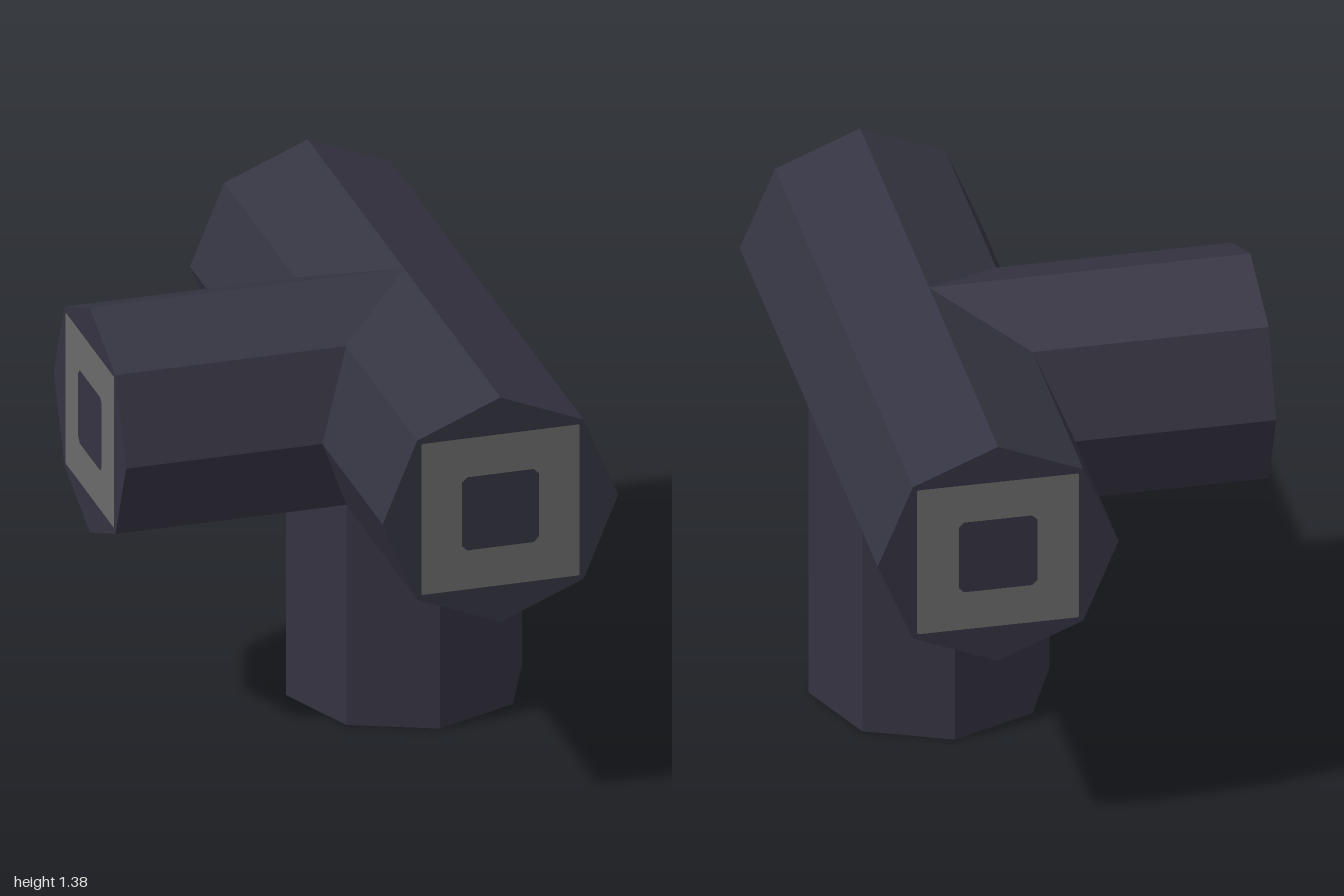
import * as THREE from 'three';

const R = 0.375;   // pipe radius
const LENGTH = 1;  // every arm, measured from the joint

const darkMetal = new THREE.MeshStandardMaterial({ color: 0x343341 });
darkMetal.name = 'darkMetal';
const greyMark = new THREE.MeshStandardMaterial({ color: 0x6a6a6a });
greyMark.name = 'greyMark';

// Square outline with cut corners
function squarePoints(half, cut) {
  const points = [];
  for (let i = 0; i < 4; i++) {
    for (const [x, y] of [[half, half - cut], [half - cut, half]]) {
      points.push(new THREE.Vector2(x, y).rotateAround(new THREE.Vector2(), i * Math.PI / 2));
    }
  }
  return points;
}

// Flat end face, lying across the outer end of an arm
function endFace(outline, hole, material, name) {
  const shape = new THREE.Shape(outline);
  if (hole) shape.holes.push(new THREE.Path(hole));
  const geometry = new THREE.ShapeGeometry(shape).rotateX(-Math.PI / 2).translate(0, LENGTH, 0);
  const mesh = new THREE.Mesh(geometry, material);
  mesh.name = name;
  return mesh;
}

// Eight-sided arm along local +y, mitred against the other arms at the joint
function makeArm(name, direction, others) {
  const arm = new THREE.Group();
  arm.name = name;
  arm.quaternion.setFromUnitVectors(new THREE.Vector3(0, 1, 0), direction);

  let geometry = new THREE.CylinderGeometry(R, R, LENGTH, 8, 1, true).translate(0, LENGTH / 2, 0);
  const pos = geometry.attributes.position;
  const v = new THREE.Vector3();
  for (let i = 0; i < pos.count; i++) {
    if (pos.getY(i) > LENGTH / 2) continue;
    v.fromBufferAttribute(pos, i).setY(0).applyQuaternion(arm.quaternion);
    pos.setY(i, Math.max(0, ...others.map((d) => v.dot(d))));
  }
  geometry = geometry.toNonIndexed();
  geometry.computeVertexNormals();
  const wall = new THREE.Mesh(geometry, darkMetal);
  wall.name = 'pipeWall';

  const octagon = [];
  for (let i = 0; i < 8; i++) {
    const a = i * Math.PI / 4;
    octagon.push(new THREE.Vector2(R * Math.cos(a), R * Math.sin(a)));
  }
  const outer = squarePoints(0.252, 0.004);
  const inner = squarePoints(0.122, 0.016);
  arm.add(
    wall,
    endFace(octagon, outer, darkMetal, 'endRim'),
    endFace(outer, inner, greyMark, 'squareFrame'),
    endFace(inner, null, darkMetal, 'endCentre'),
  );
  return arm;
}

export function createModel() {
  const model = new THREE.Group();
  model.name = 'pipeJunction';
  const directions = {
    frontArm: new THREE.Vector3(0, 0, 1),
    backArm: new THREE.Vector3(0, 0, -1),
    sideArm: new THREE.Vector3(-1, 0, 0),
    lowerArm: new THREE.Vector3(0, -1, 0),
  };
  const joint = new THREE.Group();
  joint.name = 'joint';
  joint.position.set(0.3125, 1, 0);
  for (const [name, d] of Object.entries(directions)) {
    joint.add(makeArm(name, d, Object.values(directions).filter((o) => o !== d)));
  }
  model.add(joint);
  return model;
}
